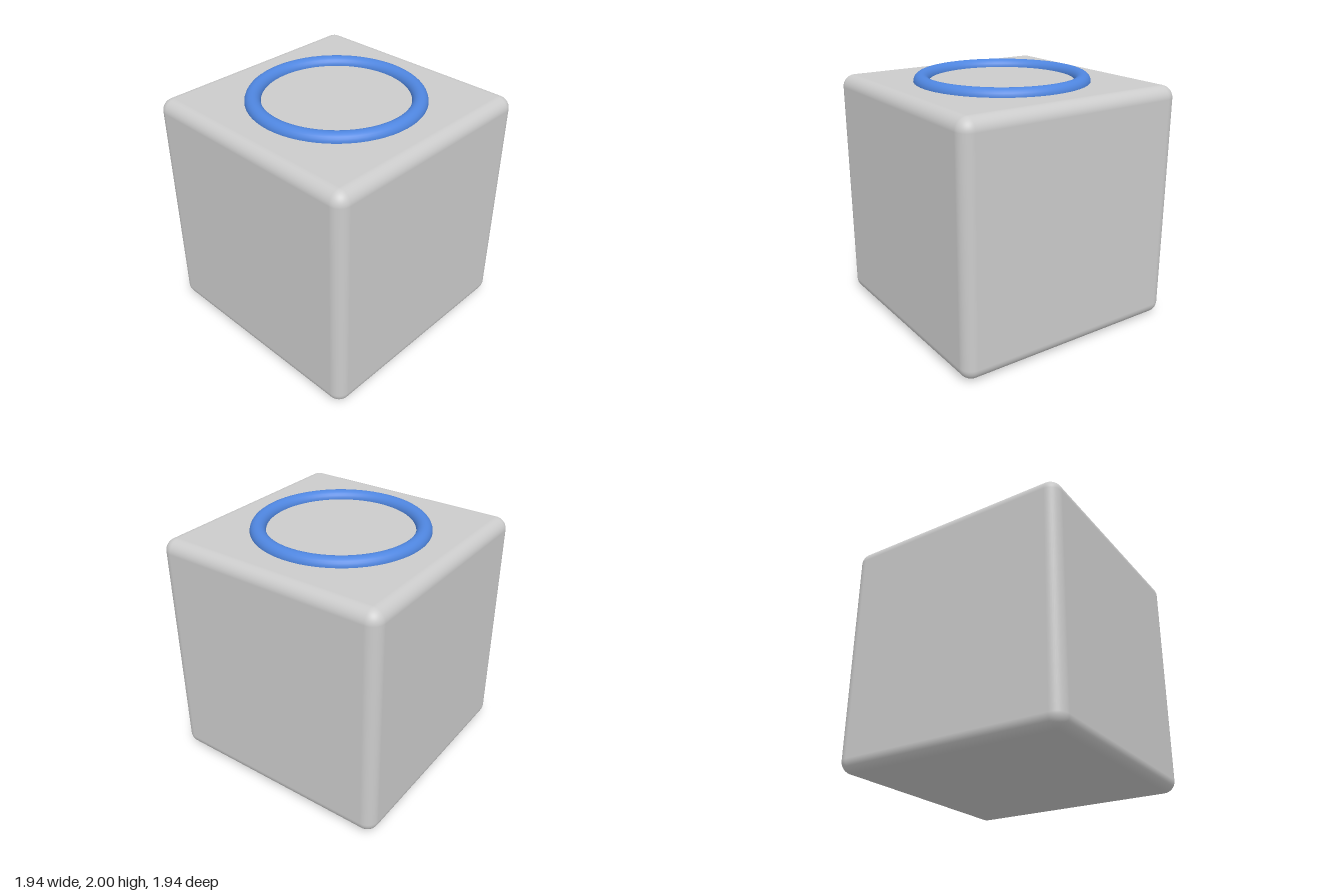
import * as THREE from 'three';
import { RoundedBoxGeometry } from 'three/addons/geometries/RoundedBoxGeometry.js';

const SIZE = 1.938;       // edge length of the cube
const EDGE_RADIUS = 0.1;  // rounding of its edges
const RING_RADIUS = 0.638;
const RING_TUBE = 0.062;

export function createModel() {
  const model = new THREE.Group();
  model.name = 'cubeWithRing';

  // Rounded cube standing on the ground
  const body = new THREE.Mesh(
    new RoundedBoxGeometry(SIZE, SIZE, SIZE, 6, EDGE_RADIUS),
    new THREE.MeshStandardMaterial({ color: 0xcccccc })
  );
  body.name = 'body';
  body.position.y = SIZE / 2;
  model.add(body);

  // Ring half sunk into the top face
  const ring = new THREE.Mesh(
    new THREE.TorusGeometry(RING_RADIUS, RING_TUBE, 24, 64),
    new THREE.MeshStandardMaterial({ color: 0x4f86e0 })
  );
  ring.name = 'topRing';
  ring.rotation.x = -Math.PI / 2;
  ring.position.y = SIZE;
  model.add(ring);

  return model;
}
